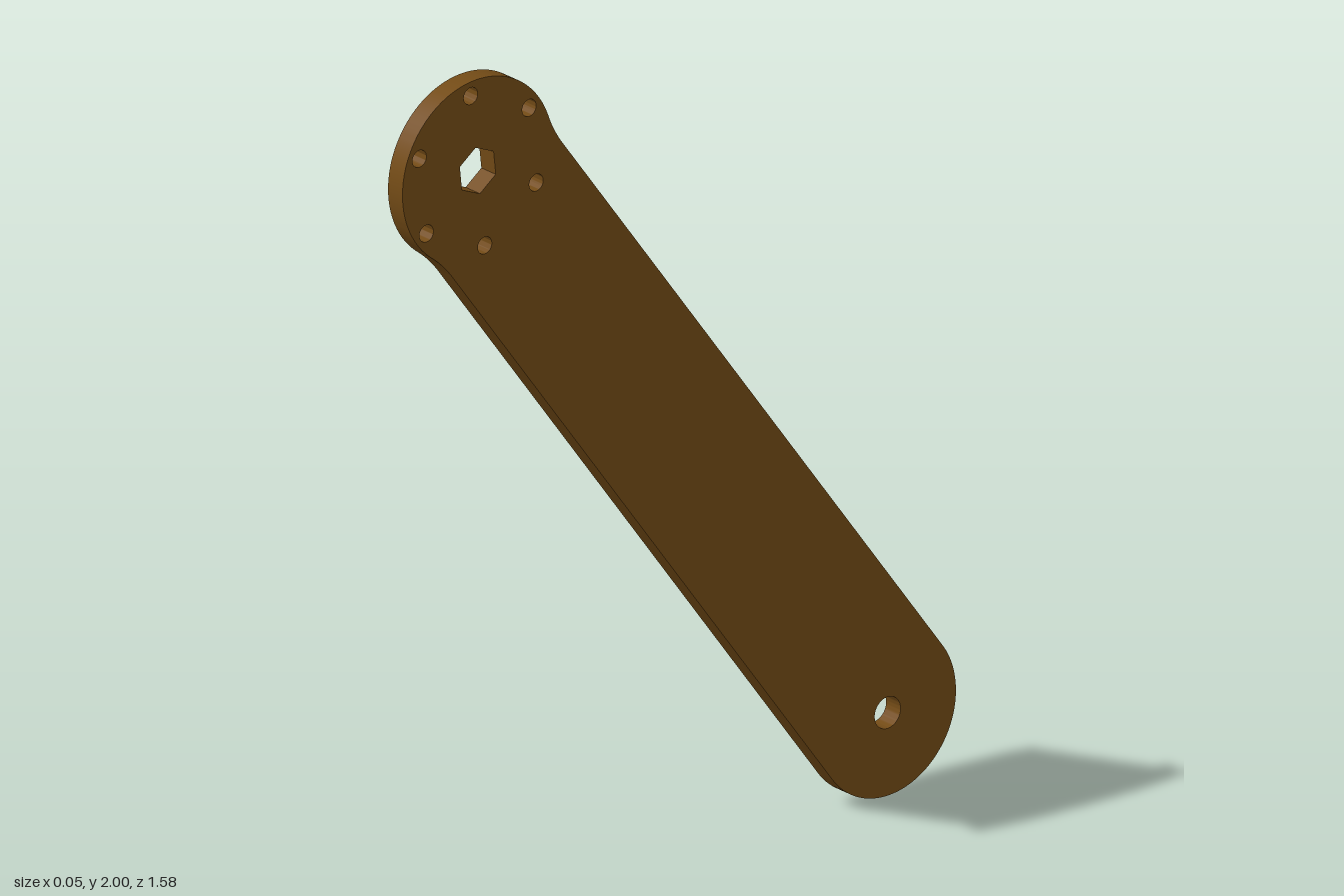
import * as THREE from 'three';
import { toCreasedNormals } from 'three/addons/utils/BufferGeometryUtils.js';

const THICKNESS = 0.048;
const ARM_R = 0.195;    // half width of the arm and radius of its lower end
const HEAD_R = 0.215;   // radius of the round head
const FILLET_R = 0.3;   // concave blend between arm and head
const FOOT = { y: 0.195, z: -0.595 };
const HEAD = { y: 1.785, z: 0.575 };

function circleHole(x, y, r) {
  return new THREE.Path().absarc(x, y, r, 0, Math.PI * 2, true);
}

export function createModel() {
  const group = new THREE.Group();
  group.name = 'leverArm';

  const dy = HEAD.y - FOOT.y, dz = HEAD.z - FOOT.z;
  const length = Math.hypot(dy, dz);
  const tilt = Math.atan2(dz, dy);

  // Outline drawn upright: lower pivot at the origin, head centre at (0, length)
  const fx = ARM_R + FILLET_R;
  const drop = Math.sqrt((HEAD_R + FILLET_R) ** 2 - fx ** 2);
  const a = Math.atan2(drop, fx);
  const fy = length - drop;
  const outline = new THREE.Shape();
  outline.absarc(0, 0, ARM_R, Math.PI, Math.PI * 2, false);
  outline.absarc(fx, fy, FILLET_R, Math.PI, Math.PI - a, true);
  outline.absarc(0, length, HEAD_R, -a, Math.PI + a, false);
  outline.absarc(-fx, fy, FILLET_R, a, 0, true);
  outline.closePath();

  // Pivot hole at the lower end
  outline.holes.push(circleHole(0, 0, 0.037));

  // Hexagonal shaft hole, ringed by six bolt holes
  const hex = [];
  for (let i = 0; i < 6; i++) {
    const t = Math.PI / 3 * (i + 1);
    const c = Math.cos(t), s = Math.sin(t);
    hex.unshift(new THREE.Vector2(0.056 * c, length + 0.056 * s));
    outline.holes.push(circleHole(0.182 * c, length + 0.182 * s, 0.02));
  }
  outline.holes.push(new THREE.Path(hex).closePath());

  // Plate thickness, then lean the arm and turn it into the y-z plane
  let geometry = new THREE.ExtrudeGeometry(outline, {
    depth: THICKNESS, bevelEnabled: false, curveSegments: 40,
  });
  geometry.translate(0, 0, -THICKNESS / 2);
  geometry.rotateZ(tilt);
  geometry.rotateY(Math.PI / 2);
  geometry.translate(0, FOOT.y, FOOT.z);
  geometry = toCreasedNormals(geometry, Math.PI / 6);

  const plate = new THREE.Mesh(geometry, new THREE.MeshStandardMaterial({ color: 0x734b16 }));
  plate.name = 'armPlate';
  group.add(plate);
  return group;
}
